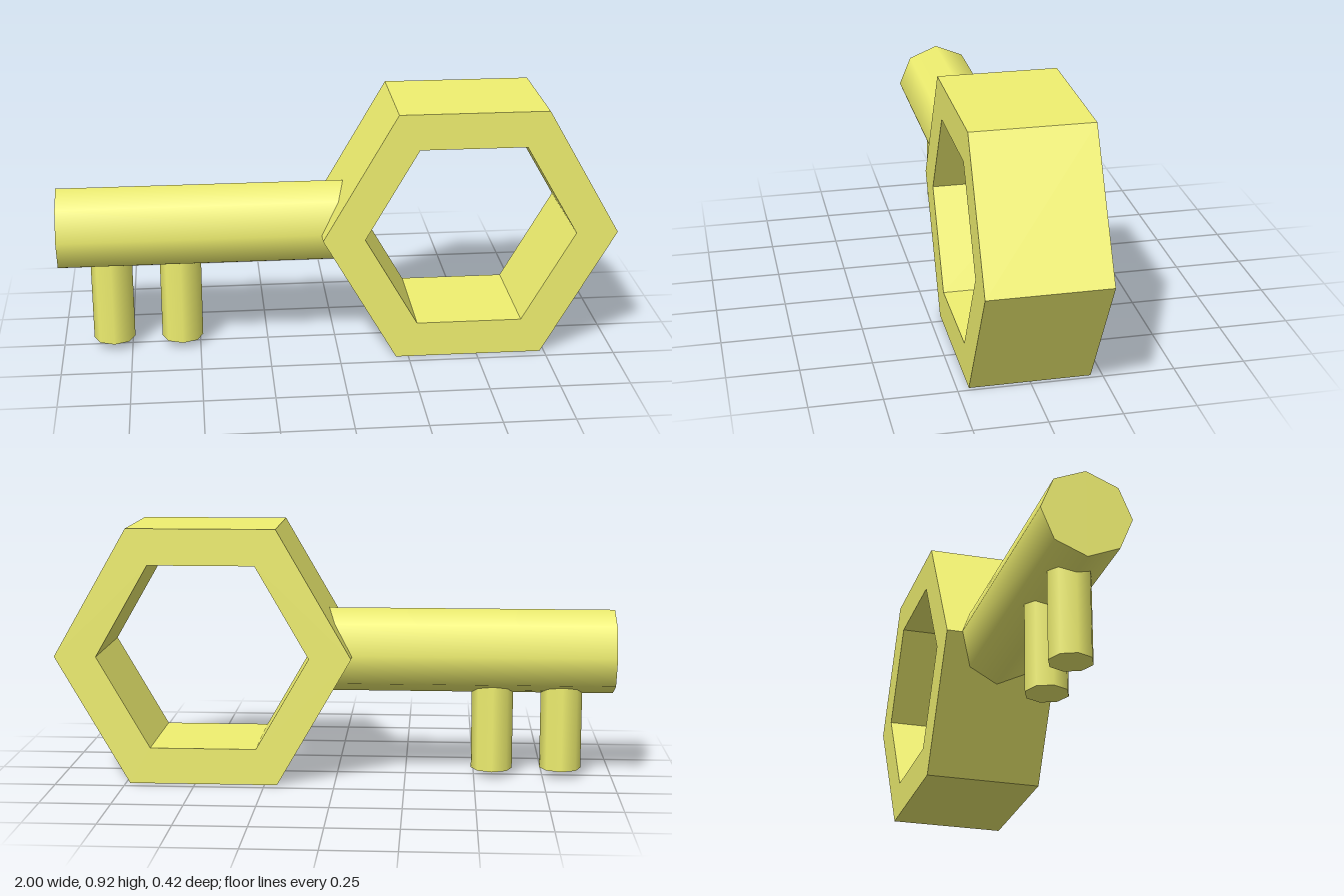
import * as THREE from 'three';

const hexagon = (PathType, r) => {
  const pts = [];
  for (let i = 0; i < 6; i++) {
    const a = (i * Math.PI) / 3;
    pts.push(new THREE.Vector2(r * Math.cos(a), r * Math.sin(a)));
  }
  return new PathType(pts);
};

export function createModel() {
  const group = new THREE.Group();
  const yellow = new THREE.MeshStandardMaterial({ color: 0xf0f070 });

  const add = (name, geometry, x, y) => {
    const mesh = new THREE.Mesh(geometry, yellow);
    mesh.name = name;
    mesh.position.set(x, y, 0);
    group.add(mesh);
  };

  // Hexagonal ring handle
  const depth = 0.42;
  const outline = hexagon(THREE.Shape, 0.53);
  outline.holes.push(hexagon(THREE.Path, 0.38));
  const ring = new THREE.ExtrudeGeometry(outline, { depth, bevelEnabled: false });
  ring.translate(0, 0, -depth / 2);
  add('handleRing', ring, 0.47, 0.46);

  // Eight-sided shaft, its inner end buried in the ring wall
  const left = -1, right = 0.05;
  const shaft = new THREE.CylinderGeometry(0.153, 0.153, right - left, 8);
  shaft.rotateZ(Math.PI / 2);
  add('shaft', shaft, (left + right) / 2, 0.462);

  // Two teeth hanging below the shaft
  [['outerTooth', -0.815, 0.03], ['innerTooth', -0.565, 0.026]].forEach(([name, x, bottom]) => {
    const height = 0.37;
    add(name, new THREE.CylinderGeometry(0.075, 0.075, height, 8), x, bottom + height / 2);
  });

  return group;
}
